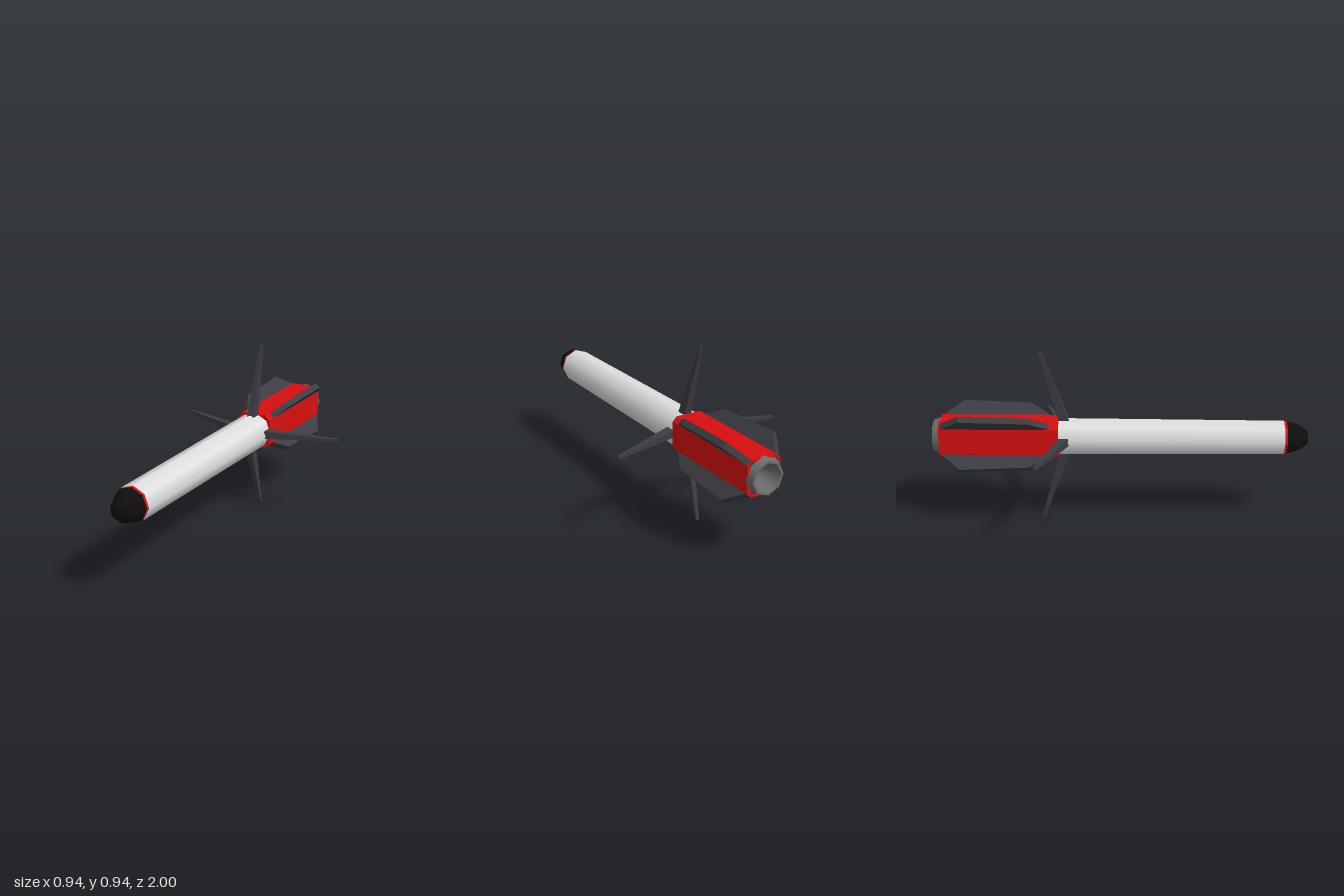
import * as THREE from 'three';

const mat = (name, color, extra = {}) => {
  const m = new THREE.MeshStandardMaterial({ color, ...extra });
  m.name = name;
  return m;
};

export function createModel() {
  const white = mat('white', 0xe0e0e0);
  const red = mat('red', 0xd80f10);
  const black = mat('black', 0x0e0e0e);
  const charcoal = mat('charcoal', 0x3c3c42);
  const grey = mat('grey', 0x6c6c6c);

  const model = new THREE.Group();
  model.name = 'missile';
  const add = (name, geometry, material) => {
    const mesh = new THREE.Mesh(geometry, material);
    mesh.name = name;
    model.add(mesh);
    return mesh;
  };

  // eight-sided turned part along z; profile is [radius, z]
  const turned = (name, profile, material) => {
    const g = new THREE.LatheGeometry(profile.map(([r, z]) => new THREE.Vector2(r, z)), 8);
    g.rotateX(Math.PI / 2);
    g.rotateZ(-0.06);
    return add(name, g, material);
  };

  // main tube, nose and its red band
  turned('bodyTube', [[0.102, -0.33], [0.094, 0.872]], white);
  turned('bodyRearFace', [[0, -0.33], [0.102, -0.33]], white);
  turned('bodyFrontFace', [[0.094, 0.872], [0.08, 0.872]], white);
  turned('noseBand', [[0.092, 0.872], [0.091, 0.886]], red);
  turned('nose', [[0.091, 0.886], [0.083, 0.925], [0.064, 0.965], [0.037, 1]], black);
  turned('noseTip', [[0.037, 1], [0, 1]], black);

  // red motor section: a square with cut corners, hollow for the nozzle
  const a = 0.096, b = 0.071;
  const section = new THREE.Shape([
    [a, -b], [a, b], [b, a], [-b, a], [-a, b], [-a, -b], [-b, -a], [b, -a],
  ].map(([x, y]) => new THREE.Vector2(x, y)));
  const bore = new THREE.Path();
  bore.absarc(0, 0, 0.085, 0, Math.PI * 2, true);
  section.holes.push(bore);
  const motor = new THREE.ExtrudeGeometry(section, { depth: 0.635, bevelEnabled: false, curveSegments: 8 });
  motor.translate(0, 0, -0.965);
  add('motorSection', motor, red);

  // nozzle ring and inner funnel
  turned('nozzleRing', [[0.09, -1], [0.103, -0.96]], grey);
  turned('nozzleRingFront', [[0.103, -0.96], [0.07, -0.96]], grey);
  turned('nozzleLip', [[0.078, -1], [0.09, -1]], grey);
  turned('nozzleFunnel', [[0.078, -1], [0.035, -0.87]].reverse(), grey);
  turned('nozzleThroat', [[0, -0.87], [0.035, -0.87]], black);

  // four long diagonal tail fins
  const finShape = new THREE.Shape([
    [-0.35, 0.07], [-0.35, 0.098], [-0.48, 0.19], [-0.85, 0.206], [-0.965, 0.112], [-0.965, 0.09],
  ].map(([z, r]) => new THREE.Vector2(z, r)));
  const thickness = 0.034;
  for (let i = 0; i < 4; i++) {
    const g = new THREE.ExtrudeGeometry(finShape, { depth: thickness, bevelEnabled: false });
    g.translate(0, 0, -thickness / 2);
    g.rotateY(-Math.PI / 2);
    g.rotateZ(Math.PI / 4 + i * Math.PI / 2);
    add('tailFin' + (i + 1), g, charcoal);
  }

  // four slender swept fins, tapered from root to tip
  const lerp = THREE.MathUtils.lerp;
  const sweptFin = (name, angle, rootShift, tipShift) => {
    const g = new THREE.BoxGeometry(1, 1, 1);
    const p = g.attributes.position;
    for (let i = 0; i < p.count; i++) {
      const t = p.getY(i) + 0.5;
      p.setXYZ(i,
        p.getX(i) * lerp(0.042, 0.016, t) + lerp(rootShift, tipShift, t),
        lerp(0.075, 0.47, t),
        p.getZ(i) * lerp(0.058, 0.016, t) + lerp(-0.297, -0.42, t));
    }
    g.computeVertexNormals();
    g.rotateZ(angle);
    add(name, g, charcoal);
  };
  sweptFin('topFin', 0, 0.005, -0.006);
  sweptFin('leftFin', -Math.PI / 2, -0.003, 0.005);
  sweptFin('bottomFin', Math.PI, 0.008, 0.002);
  sweptFin('rightFin', Math.PI / 2, 0, 0.007);

  for (const part of model.children) part.position.y = 0.47;
  // the funnel is seen from inside
  const funnel = model.getObjectByName('nozzleFunnel');
  funnel.material.side = THREE.DoubleSide;
  return model;
}
